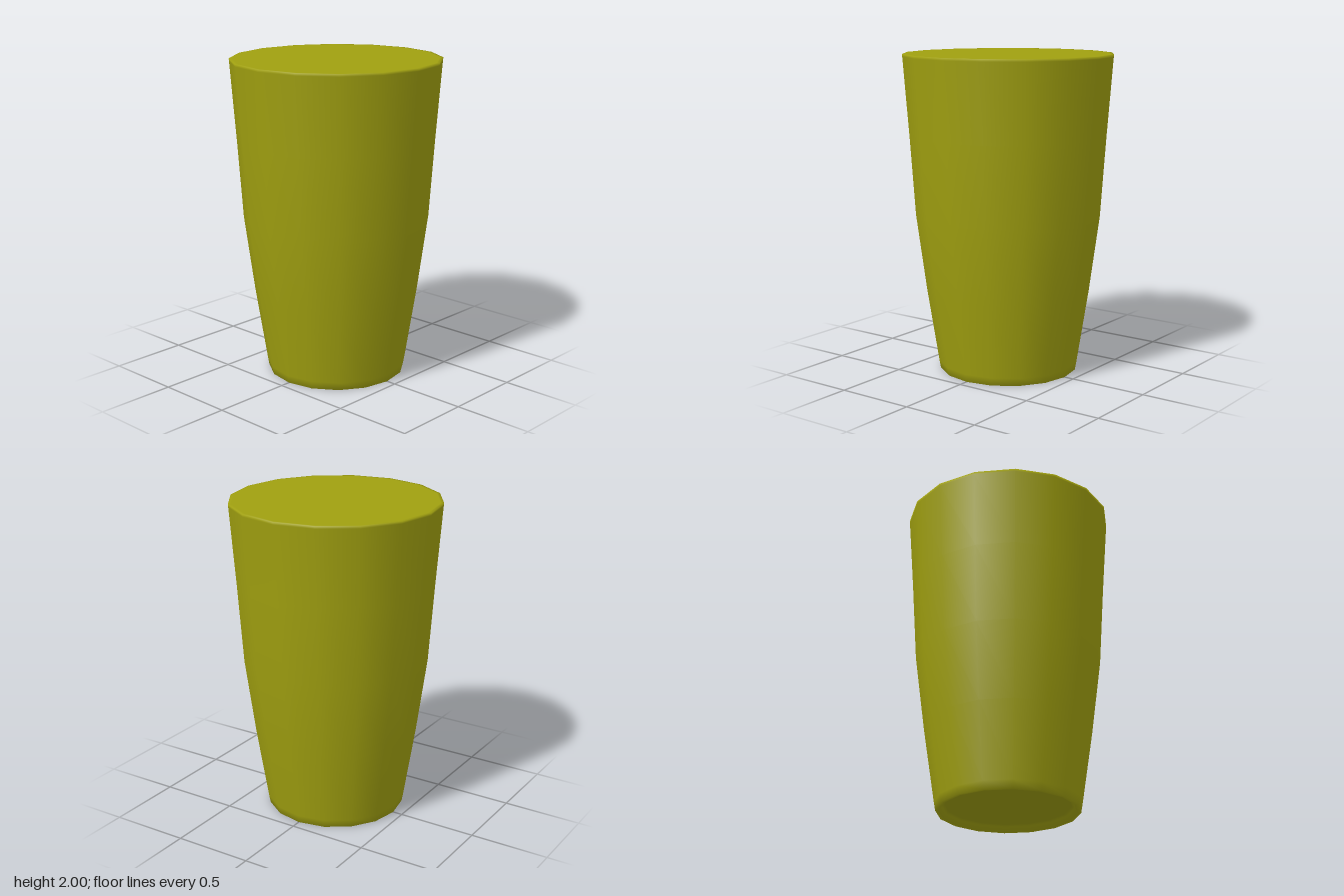
import * as THREE from 'three';

export function createModel() {
  const group = new THREE.Group();
  group.name = 'tumbler';

  // Closed outline from the recessed base, up the curved wall, to the flat top
  const profile = [
    [0, 0.04], [0.38, 0.04], [0.4, 0.03], [0.415, 0], [0.437, 0], [0.446, 0.05],
    [0.52, 0.52], [0.585, 1], [0.62, 1.5], [0.658, 1.985], [0.66, 2], [0.64, 2], [0, 2],
  ].map(([r, y]) => new THREE.Vector2(r, y));
  const geometry = new THREE.LatheGeometry(profile, 16);

  // The mouth is very slightly narrower from front to back
  const pos = geometry.attributes.position;
  for (let i = 0; i < pos.count; i++) {
    pos.setZ(i, pos.getZ(i) * (1 - 0.006 * pos.getY(i)));
  }

  const body = new THREE.Mesh(geometry, new THREE.MeshStandardMaterial({ color: 0xa0a010 }));
  body.name = 'taperedBody';
  group.add(body);
  return group;
}
